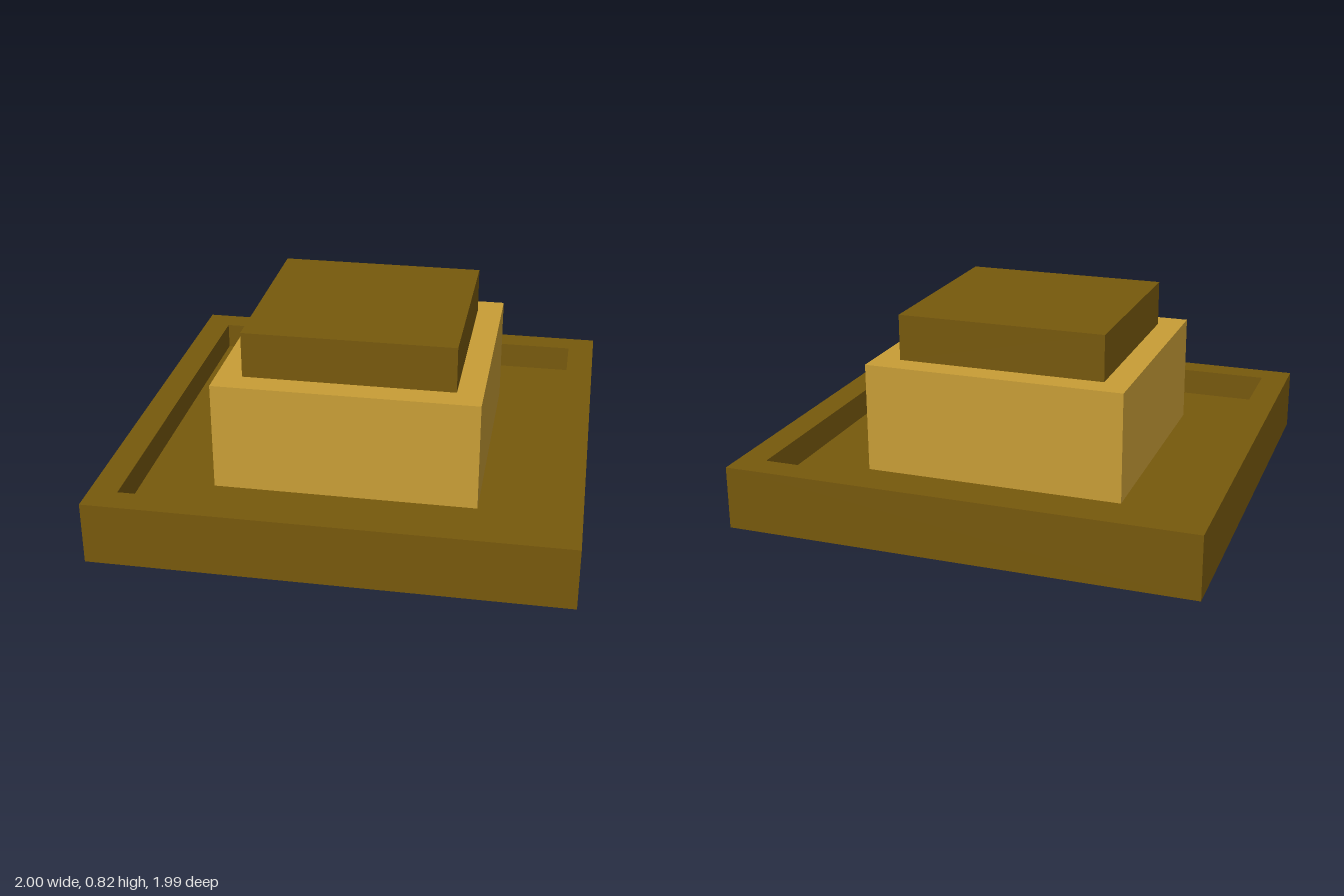
import * as THREE from 'three';

export function createModel() {
  const model = new THREE.Group();
  const paint = (name, color) => {
    const m = new THREE.MeshStandardMaterial({ color });
    m.name = name;
    return m;
  };
  const brown = paint('dark brown', 0x77590c);
  const gold = paint('light gold', 0xc99e36);
  const shade = paint('underside black', 0x2c220a);

  const add = (name, geometry, material) => {
    const mesh = new THREE.Mesh(geometry, material);
    mesh.name = name;
    model.add(mesh);
    return mesh;
  };
  // Box given by half sizes and its bottom and top heights
  const block = (name, hx, hz, y0, y1, material) => {
    const mesh = add(name, new THREE.BoxGeometry(hx * 2, y1 - y0, hz * 2), material);
    mesh.position.y = (y0 + y1) / 2;
  };
  const rectangle = (path, hx, hz) =>
    path.moveTo(-hx, -hz).lineTo(hx, -hz).lineTo(hx, hz).lineTo(-hx, hz).closePath();

  // Raised square rim around the tray
  const outline = rectangle(new THREE.Shape(), 1, 0.995);
  outline.holes.push(rectangle(new THREE.Path(), 0.88, 0.875));
  const rim = new THREE.ExtrudeGeometry(outline, { depth: 0.27, bevelEnabled: false });
  add('trayRim', rim.rotateX(-Math.PI / 2), brown);

  // Sunken floor with a dark plate beneath
  block('trayFloor', 0.88, 0.875, 0.005, 0.15, brown);
  block('undersidePlate', 0.88, 0.875, 0, 0.005, shade);

  // Stacked blocks
  block('middleBlock', 0.565, 0.555, 0.15, 0.625, gold);
  block('topBlock', 0.453, 0.445, 0.625, 0.825, brown);

  return model;
}
